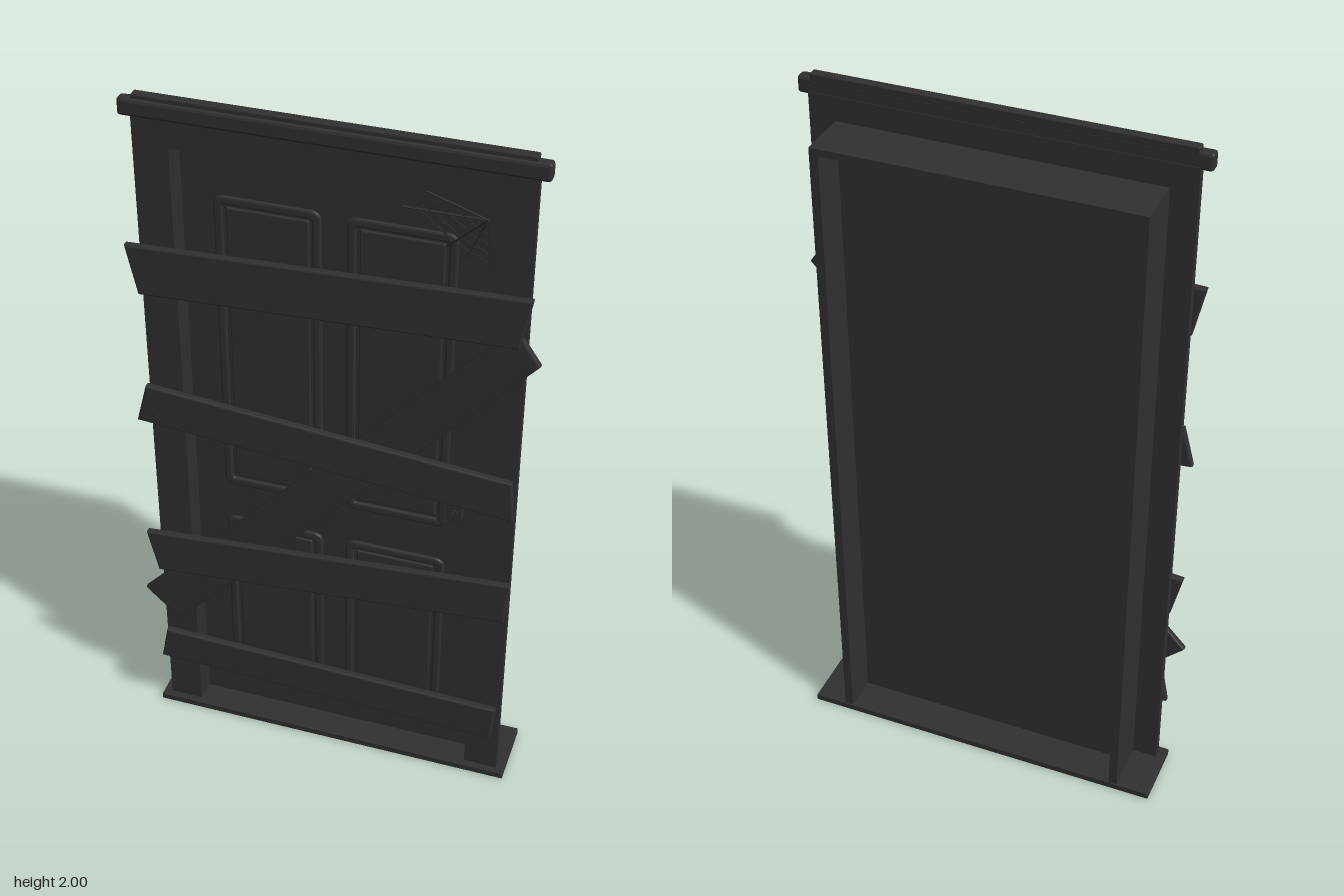
import * as THREE from 'three';

const dark = new THREE.MeshStandardMaterial({ color: 0x303030 });
dark.name = 'charcoal';

export function createModel() {
  const root = new THREE.Group();
  root.name = 'boardedDoor';

  const add = (name, geometry, parent = root) => {
    const mesh = new THREE.Mesh(geometry, dark);
    mesh.name = name;
    parent.add(mesh);
    return mesh;
  };
  // Box given by its limits on each axis
  const box = (name, x0, x1, y0, y1, z0, z1, parent) => {
    const mesh = add(name, new THREE.BoxGeometry(x1 - x0, y1 - y0, z1 - z0), parent);
    mesh.position.set((x0 + x1) / 2, (y0 + y1) / 2, (z0 + z1) / 2);
    return mesh;
  };
  // Bevelled plate whose outline keeps its size and lies between z0 and z1
  const plate = (name, shape, z0, z1, bevel, parent) => {
    const geometry = new THREE.ExtrudeGeometry(shape, {
      depth: z1 - z0 - 2 * bevel, bevelEnabled: bevel > 0, bevelThickness: bevel,
      bevelSize: bevel, bevelOffset: -bevel, bevelSegments: 2, curveSegments: 8,
    });
    geometry.translate(0, 0, z0 + bevel);
    return add(name, geometry, parent);
  };
  const polygon = (points) => new THREE.Shape(points.map(([x, y]) => new THREE.Vector2(x, y)));
  // Rectangle with rounded corners
  const rounded = (x0, x1, y0, y1, r, type = THREE.Shape) => {
    const s = new type();
    s.moveTo(x0 + r, y0);
    s.lineTo(x1 - r, y0); s.quadraticCurveTo(x1, y0, x1, y0 + r);
    s.lineTo(x1, y1 - r); s.quadraticCurveTo(x1, y1, x1 - r, y1);
    s.lineTo(x0 + r, y1); s.quadraticCurveTo(x0, y1, x0, y1 - r);
    s.lineTo(x0, y0 + r); s.quadraticCurveTo(x0, y0, x0 + r, y0);
    return s;
  };

  // Frame: sill, deep jambs and the wider front casing
  const frame = new THREE.Group();
  frame.name = 'frame';
  root.add(frame);
  plate('sill', rounded(-0.525, 0.525, 0, 0.02, 0.004), -0.107, 0.083, 0.002, frame);
  for (const [side, s] of [['right', -1], ['left', 1]]) {
    const span = (a, b) => (s > 0 ? [a, b] : [-b, -a]);
    box(side + 'Jamb', ...span(0.406, 0.43), 0.02, 1.866, -0.105, 0.04, frame);
    box(side + 'Casing', ...span(0.406, 0.5), 0.02, 1.866, 0.04, 0.064, frame);
  }
  box('headJamb', -0.43, 0.43, 1.866, 1.885, -0.105, 0.04, frame);
  box('headCasing', -0.5, 0.5, 1.866, 1.95, 0.04, 0.064, frame);
  plate('capMoulding', rounded(-0.53, 0.53, 1.942, 1.988, 0.01), 0.042, 0.076, 0.008, frame);
  plate('capTop', rounded(-0.495, 0.495, 1.98, 2, 0.005), 0.042, 0.068, 0.003, frame);

  // Door leaf with four framed panels
  const door = new THREE.Group();
  door.name = 'door';
  root.add(door);
  box('doorLeaf', -0.4, 0.4, 0.029, 1.859, -0.012, 0.012, door);
  for (const [x0, x1] of [[-0.315, -0.035], [0.03, 0.31]]) {
    for (const [y0, y1] of [[0.13, 0.72], [0.835, 1.735]]) {
      const ring = rounded(x0, x1, y0, y1, 0.03);
      ring.holes.push(rounded(x0 + 0.024, x1 - 0.024, y0 + 0.024, y1 - 0.024, 0.006, THREE.Path));
      plate('panelMoulding', ring, 0.01, 0.024, 0.006, door);
      plate('raisedPanel', rounded(x0 + 0.032, x1 - 0.032, y0 + 0.032, y1 - 0.032, 0.005),
        0.01, 0.02, 0.004, door);
    }
  }

  // Handle: back plate, knob and keyhole
  const handle = new THREE.Group();
  handle.name = 'handle';
  root.add(handle);
  plate('handlePlate', rounded(0.306, 0.354, 0.86, 1.04, 0.02), 0.01, 0.022, 0.004, handle);
  const knobProfile = [[0, 0], [0.012, 0], [0.012, 0.015], [0.024, 0.024], [0.026, 0.034], [0.018, 0.043], [0, 0.046]];
  const knob = add('knob', new THREE.LatheGeometry(
    knobProfile.map(([r, h]) => new THREE.Vector2(r, h)), 20), handle);
  knob.rotation.x = Math.PI / 2;
  knob.position.set(0.33, 1.0, 0.02);
  const keyhole = add('keyhole', new THREE.TorusGeometry(0.007, 0.002, 6, 14), handle);
  keyhole.position.set(0.33, 0.895, 0.023);

  // Nailed boards, corners from bottom left going round
  const boards = [
    [[-0.495, 1.46], [0.49, 1.5], [0.515, 1.64], [-0.525, 1.6]],
    [[-0.525, 1.06], [0.505, 0.97], [0.495, 1.09], [-0.495, 1.175]],
    [[-0.495, 0.54], [0.5, 0.62], [0.51, 0.75], [-0.525, 0.67]],
    [[-0.505, 0.205], [0.485, 0.175], [0.495, 0.285], [-0.485, 0.31]],
  ];
  for (const corners of boards) {
    const group = new THREE.Group();
    group.name = 'crossBoard';
    root.add(group);
    plate('plank', polygon(corners), 0.084, 0.106, 0.005, group);
    const [bl, br, tr, tl] = corners;
    for (const [low, high, dx] of [[bl, tl, 0.055], [br, tr, -0.055]]) {
      for (const t of [0.25, 0.78]) {
        const nail = add('nail', new THREE.CylinderGeometry(0.004, 0.004, 0.003, 8), group);
        nail.rotation.x = Math.PI / 2;
        nail.position.set(low[0] + (high[0] - low[0]) * t + dx,
          low[1] + (high[1] - low[1]) * t, 0.106);
      }
    }
  }
  plate('diagonalBoard', polygon([[-0.45, 0.345], [0.54, 1.445], [0.475, 1.54], [-0.55, 0.44]]),
    0.064, 0.085, 0.005);

  // Cobweb in the upper corner: spokes from a hub joined by sagging threads
  const web = new THREE.Group();
  web.name = 'cobweb';
  root.add(web);
  const hub = new THREE.Vector3(0.385, 1.81, 0.055);
  const tips = [[0.2, 1.85], [0.17, 1.79], [0.23, 1.75], [0.28, 1.70], [0.33, 1.68], [0.39, 1.65]]
    .map(([x, y]) => new THREE.Vector3(x, y, 0.022));
  const thread = (name, a, b, width) => {
    const strand = add(name, new THREE.BoxGeometry(a.distanceTo(b), width, 0.002), web);
    strand.position.copy(a).add(b).multiplyScalar(0.5);
    strand.quaternion.setFromUnitVectors(new THREE.Vector3(1, 0, 0), b.clone().sub(a).normalize());
  };
  tips.forEach((tip, i) => {
    thread('webSpoke', hub, tip, 0.005);
    if (i === 0) return;
    for (const t of [0.3, 0.5, 0.7, 0.88]) {
      const a = hub.clone().lerp(tips[i - 1], t);
      const b = hub.clone().lerp(tip, t);
      const sag = a.clone().add(b).multiplyScalar(0.5).lerp(hub, 0.06);
      thread('webThread', a, sag, 0.004);
      thread('webThread', sag, b, 0.004);
    }
  });

  return root;
}
